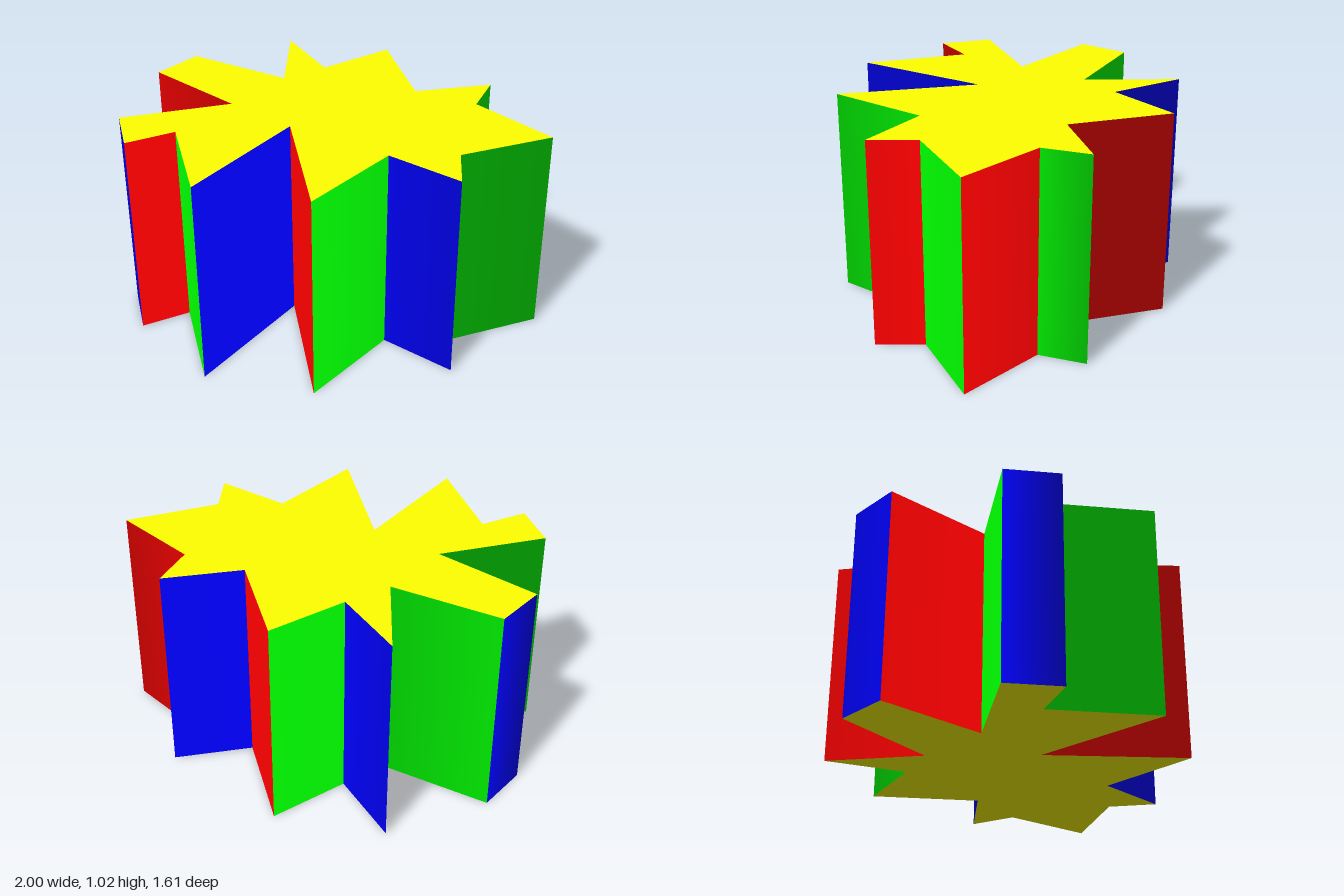
import * as THREE from 'three';

const HEIGHT = 1.02;

// Star outline as [x, z], from the right tip round the front to the back
const OUTLINE = [
  [1, 0], [0.615, 0.263], [0.655, 0.498], [0.305, 0.34], [0.07, 0.807],
  [-0.195, 0.165], [-0.455, 0.807], [-0.693, 0.34], [-0.88, 0.498], [-1, 0.263],
  [-0.53, 0], [-1, -0.263], [-0.88, -0.498], [-0.363, -0.34], [-0.455, -0.807],
  [-0.195, -0.51], [0.07, -0.807], [0.305, -0.34], [0.655, -0.498], [0.615, -0.263],
].map(([x, z]) => new THREE.Vector2(x, z));

const COUNT = OUTLINE.length;
const corner = (i) => OUTLINE[(i + COUNT) % COUNT];

// Outward direction of wall i, which runs from corner i to corner i + 1
function wallNormal(i) {
  const d = corner(i + 1).clone().sub(corner(i)).normalize();
  return new THREE.Vector2(d.y, -d.x);
}

// Smooth normal at corner i: the mean of the two walls meeting there
const cornerNormal = (i) => wallNormal(i - 1).add(wallNormal(i)).normalize();

// Every third wall, beginning with wall `first`
function wallGeometry(first) {
  const positions = [], normals = [], indices = [];
  for (let i = first; i < COUNT; i += 3) {
    const base = positions.length / 3;
    for (const k of [i, i + 1]) {
      const p = corner(k), n = cornerNormal(k);
      for (const y of [0, HEIGHT]) {
        positions.push(p.x, y, p.y);
        normals.push(n.x, 0, n.y);
      }
    }
    indices.push(base, base + 1, base + 2, base + 1, base + 3, base + 2);
  }
  const geometry = new THREE.BufferGeometry();
  geometry.setAttribute('position', new THREE.Float32BufferAttribute(positions, 3));
  geometry.setAttribute('normal', new THREE.Float32BufferAttribute(normals, 3));
  geometry.setIndex(indices);
  return geometry;
}

// Flat star-shaped cap facing up (+1) or down (-1)
function capGeometry(facing) {
  const shape = new THREE.Shape(OUTLINE.map((p) => new THREE.Vector2(p.x, -facing * p.y)));
  return new THREE.ShapeGeometry(shape).rotateX((-facing * Math.PI) / 2);
}

export function createModel() {
  const group = new THREE.Group();
  group.name = 'starPrism';

  const add = (name, geometry, color, y = 0) => {
    const mesh = new THREE.Mesh(geometry, new THREE.MeshStandardMaterial({ color }));
    mesh.name = name;
    mesh.position.y = y;
    group.add(mesh);
  };

  // Walls in a repeating cycle of three colours
  add('greenWalls', wallGeometry(0), 0x00ff00);
  add('redWalls', wallGeometry(1), 0xff0000);
  add('blueWalls', wallGeometry(2), 0x0000ff);

  // Caps
  add('topCap', capGeometry(1), 0xffff00, HEIGHT);
  add('bottomCap', capGeometry(-1), 0xffff00);

  return group;
}
